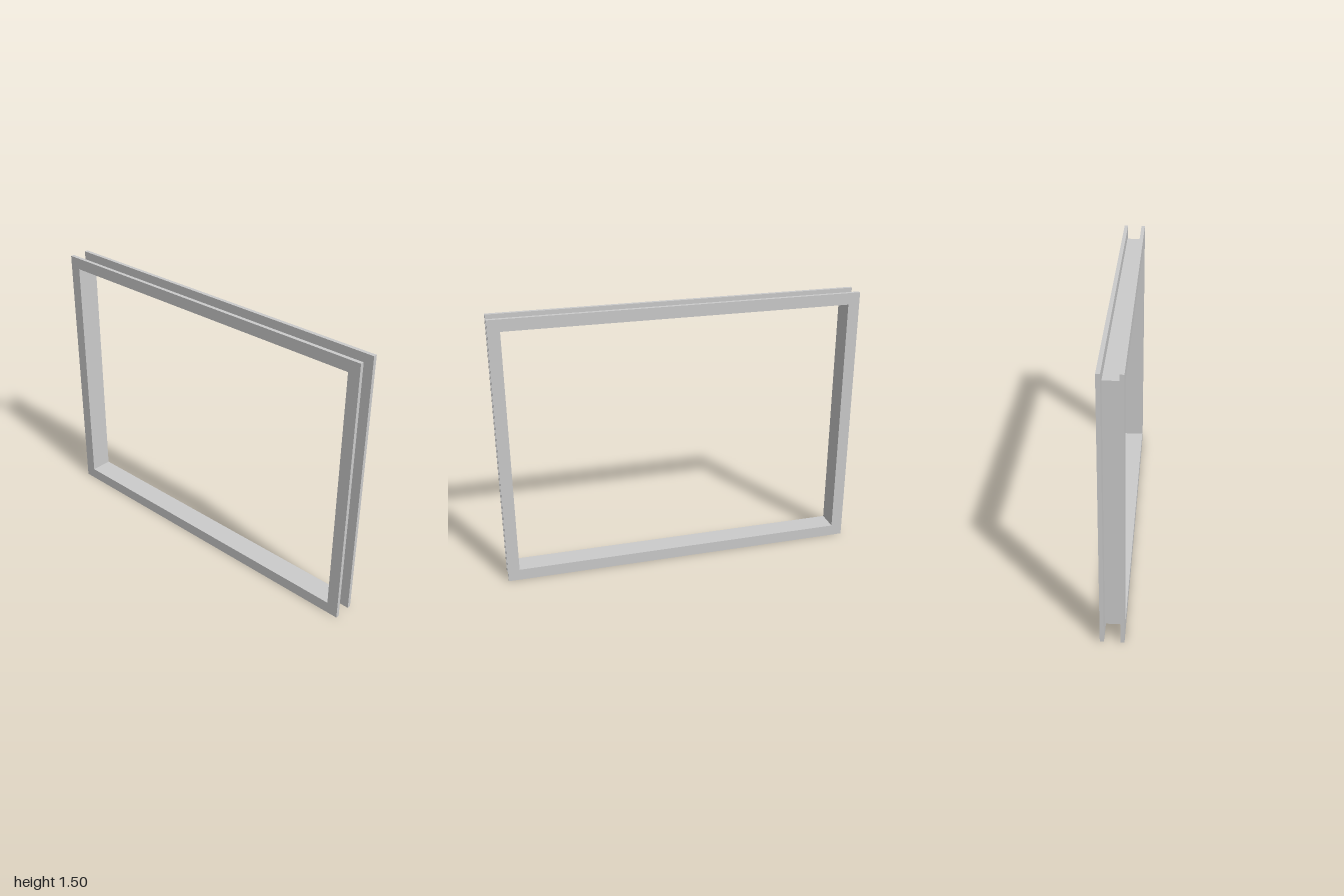
import * as THREE from 'three';

const LENGTH = 2, HEIGHT = 1.5;   // outer size along z and y
const HALF_WIDTH = 0.062;         // half depth along x
const FLANGE = 0.021;             // flange thickness
const INSET = 0.064;              // flange face width
const SHEET = 0.002;              // web sheet thickness

// Rectangle inset from the outer outline by m
function rectangle(Type, m) {
  const z = LENGTH / 2 - m;
  const r = new Type();
  r.moveTo(-z, m);
  r.lineTo(z, m);
  r.lineTo(z, HEIGHT - m);
  r.lineTo(-z, HEIGHT - m);
  r.closePath();
  return r;
}

// Rectangular ring between two insets, spanning x0 to x1
function ring(name, outer, inner, x0, x1, material) {
  const shape = rectangle(THREE.Shape, outer);
  shape.holes.push(rectangle(THREE.Path, inner));
  const geometry = new THREE.ExtrudeGeometry(shape, { depth: x1 - x0, bevelEnabled: false });
  geometry.rotateY(Math.PI / 2);
  geometry.translate(x0, 0, 0);
  const mesh = new THREE.Mesh(geometry, material);
  mesh.name = name;
  return mesh;
}

export function createModel() {
  const group = new THREE.Group();
  group.name = 'channelFrame';
  const material = new THREE.MeshStandardMaterial({ color: 0xcccccc });
  const x = HALF_WIDTH - FLANGE;

  // Two flat flanges joined by a thin web lining the opening
  group.add(ring('leftFlange', 0, INSET, x, HALF_WIDTH, material));
  group.add(ring('rightFlange', 0, INSET, -HALF_WIDTH, -x, material));
  group.add(ring('web', INSET - SHEET, INSET, -x, x, material));
  return group;
}
